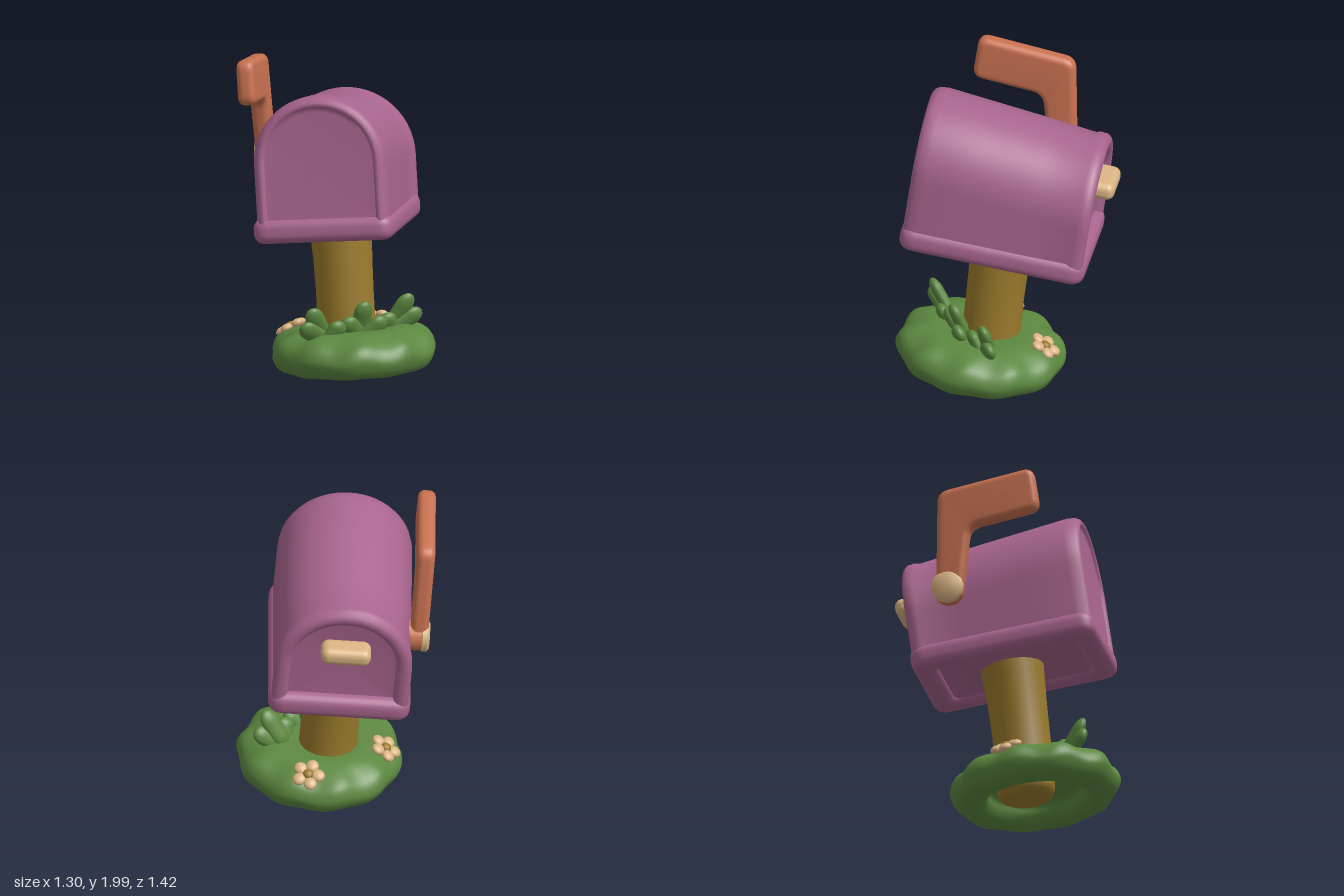
import * as THREE from 'three';
import { toCreasedNormals } from 'three/addons/utils/BufferGeometryUtils.js';
import { RoundedBoxGeometry } from 'three/addons/geometries/RoundedBoxGeometry.js';

const mat = (name, color) => {
  const m = new THREE.MeshStandardMaterial({ color });
  m.name = name;
  return m;
};

function add(parent, name, geometry, material, pos = [0, 0, 0], rot = [0, 0, 0]) {
  const mesh = new THREE.Mesh(geometry, material);
  mesh.name = name;
  mesh.position.set(...pos);
  mesh.rotation.set(...rot);
  parent.add(mesh);
  return mesh;
}

const points = list => list.map(p => new THREE.Vector2(...p));

// Polygon path whose corners are rounded by radius r
function roundedPoly(path, pts, r) {
  const v = points(pts);
  v.forEach((p, i) => {
    const prev = v[(i + v.length - 1) % v.length], next = v[(i + 1) % v.length];
    const a = prev.clone().sub(p).setLength(r).add(p);
    const b = next.clone().sub(p).setLength(r).add(p);
    if (i === 0) path.moveTo(a.x, a.y); else path.lineTo(a.x, a.y);
    path.quadraticCurveTo(p.x, p.y, b.x, b.y);
  });
  path.closePath();
  return path;
}

const rect = (w, h) => [[-w / 2, -h / 2], [w / 2, -h / 2], [w / 2, h / 2], [-w / 2, h / 2]];

function puffyExtrude(shape, depth, bevel) {
  const g = new THREE.ExtrudeGeometry(shape, {
    depth: depth - 2 * bevel, bevelEnabled: true, bevelThickness: bevel,
    bevelSize: bevel, bevelOffset: -bevel, bevelSegments: 6, curveSegments: 8,
  });
  g.translate(0, 0, bevel);
  return toCreasedNormals(g, 0.9);
}

// Arched cross-section, counterclockwise seen from the front
function arch(z, inset) {
  const hw = 0.415 - inset, bottom = 0.03 + inset, top = 0.85 + 0.092 * z - inset;
  const spring = top - hw, pts = [];
  for (let i = 0; i < 8; i++) pts.push([-hw + 2 * hw * i / 8, bottom, z]);
  for (let i = 0; i < 8; i++) pts.push([hw, bottom + (spring - bottom) * i / 8, z]);
  for (let i = 0; i < 28; i++) {
    const a = Math.PI * i / 28;
    pts.push([hw * Math.cos(a), spring + hw * Math.sin(a), z]);
  }
  for (let i = 0; i < 8; i++) pts.push([-hw, spring + (bottom - spring) * i / 8, z]);
  return pts;
}

// Box body: arched sections from the front panel over the rims to the rear door
function bodyGeometry() {
  const rings = [
    [0.56, 0.1], [0.562, 0.076], [0.572, 0.07], [0.581, 0.058], [0.58, 0.044], [0.567, 0.025],
    [0.54, 0.009], [0.49, 0], [0.2, 0], [-0.2, 0], [-0.45, 0.003], [-0.48, -0.008],
    [-0.52, -0.008], [-0.545, 0.008], [-0.555, 0.033], [-0.55, 0.063], [-0.535, 0.083],
    [-0.505, 0.091], [-0.5, 0.13],
  ].map(([z, inset]) => arch(z, inset));
  const n = rings[0].length, last = rings.length - 1, idx = [];
  const front = rings.length * n, back = front + 1;
  for (let j = 0; j < n; j++) {
    const j2 = (j + 1) % n;
    for (let k = 0; k < last; k++) {
      const a = k * n + j, b = k * n + j2, c = a + n, d = b + n;
      idx.push(a, c, b, b, c, d);
    }
    idx.push(front, j, j2, back, last * n + j2, last * n + j);
  }
  const pos = [...rings.flat(), [0, 0.45, 0.56], [0, 0.45, -0.5]].flat();
  const g = new THREE.BufferGeometry();
  g.setAttribute('position', new THREE.Float32BufferAttribute(pos, 3));
  g.setIndex(idx);
  return toCreasedNormals(g, 0.9);
}

// Lumpy ground mound, hollow underneath
function moundGeometry() {
  const profile = points([
    [0, 0.15], [0.2, 0.15], [0.28, 0.12], [0.3, 0.06], [0.34, 0.01], [0.41, 0], [0.47, 0.025],
    [0.505, 0.08], [0.51, 0.13], [0.48, 0.19], [0.41, 0.235], [0.32, 0.262], [0.2, 0.26], [0.1, 0.255],
  ]);
  const curve = new THREE.SplineCurve(profile);
  const g = new THREE.LatheGeometry(curve.getPoints(48), 96);
  const p = g.attributes.position;
  for (let i = 0; i < p.count; i++) {
    const x = p.getX(i), y = p.getY(i), z = p.getZ(i);
    const r = Math.hypot(x, z), a = Math.atan2(z, x);
    const edge = THREE.MathUtils.smoothstep(r, 0.3, 0.5);
    const lump = edge * THREE.MathUtils.smoothstep(y, -0.08, 0.15);
    const s = 1 + edge * (0.02 * Math.sin(10 * a + 0.6) - 0.015 * Math.sin(2 * a));
    p.setXYZ(i, x * s, y + lump * 0.015 * Math.sin(10 * a + 1.8), z * s);
  }
  g.computeVertexNormals();
  // Blend the normals where the lathe closes
  const nm = g.attributes.normal, rows = 49;
  for (let i = 0; i < rows; i++) {
    const e = p.count - rows + i;
    const v = new THREE.Vector3().fromBufferAttribute(nm, i)
      .add(new THREE.Vector3().fromBufferAttribute(nm, e)).normalize();
    nm.setXYZ(i, v.x, v.y, v.z);
    nm.setXYZ(e, v.x, v.y, v.z);
  }
  return g;
}

export function createModel() {
  const purple = mat('purple paint', 0xa9658e);
  const orange = mat('orange paint', 0xc87151);
  const cream = mat('cream', 0xdab483);
  const green = mat('grass green', 0x5c8840);
  const wood = mat('ochre wood', 0x9a7a2c);

  const model = new THREE.Group();
  model.name = 'mailbox';

  // Tilted letter box
  const box = new THREE.Group();
  box.name = 'letterBox';
  box.position.set(0.003, 0.893, 0.025);
  box.rotation.set(-0.134, -0.585, 0.08, 'YXZ');
  model.add(box);
  add(box, 'body', bodyGeometry(), purple);

  const rim = roundedPoly(new THREE.Shape(), rect(0.875, 1.165), 0.1);
  rim.holes.push(roundedPoly(new THREE.Path(), rect(0.59, 0.86), 0.05));
  add(box, 'baseRim', puffyExtrude(rim, 0.155, 0.06), purple, [0, -0.008, 0.01], [-Math.PI / 2, 0, 0]);

  add(box, 'doorHandle', new RoundedBoxGeometry(0.31, 0.115, 0.16, 5, 0.05), cream, [-0.005, 0.528, -0.568]);

  // Raised flag with its pivot
  const flagShape = roundedPoly(new THREE.Shape(),
    [[-0.34, 0.38], [-0.17, 0.38], [-0.06, 0.81], [0.385, 0.83], [0.385, 1.112], [-0.225, 1.08]], 0.07);
  add(box, 'flag', puffyExtrude(flagShape, 0.11, 0.04), orange, [-0.405, 0, 0], [0, -Math.PI / 2, 0]);
  const side = [0, 0, Math.PI / 2];
  add(box, 'flagPivot', new THREE.CylinderGeometry(0.095, 0.095, 0.1, 24), orange, [-0.44, 0.45, -0.255], side);
  const knob = points([[0, -0.03], [0.08, -0.03], [0.1, -0.015], [0.1, 0.015], [0.08, 0.03], [0, 0.03]]);
  add(box, 'pivotKnob', toCreasedNormals(new THREE.LatheGeometry(knob, 24), 0.9),
    cream, [-0.495, 0.45, -0.255], side);

  // Post, bent backwards, with a rounded foot square to the lean
  const post = new THREE.LatheGeometry(points([
    [0, 0.055], [0.13, 0.06], [0.165, 0.08], [0.18, 0.12], [0.18, 0.3], [0.178, 0.5],
    [0.182, 0.7], [0.19, 0.85], [0.2, 1.0],
  ]), 24);
  const pp = post.attributes.position;
  for (let i = 0; i < pp.count; i++) {
    const y = pp.getY(i), z = pp.getZ(i);
    pp.setXYZ(i, pp.getX(i) + 0.03 - 0.01 * y, y + 0.1 * z, z + 0.125 - 0.06 * y - 0.055 * y * y);
  }
  add(model, 'post', toCreasedNormals(post, 0.9), wood);

  // Ground
  add(model, 'grassMound', moundGeometry(), green, [0.04, 0.047, 0.195], [-0.1, 0, 0]);

  // Leaf tufts: each leaf is [lean, length]
  const leafGeometry = new THREE.CapsuleGeometry(1, 1.2, 8, 16);
  const tufts = [
    [[-0.2, 0.28, 0.27], [[0.5, 0.27], [0.92, 0.23], [-0.45, 0.17]]],
    [[0.03, 0.28, 0.28], [[0, 0.25], [0.72, 0.2], [-0.72, 0.2]]],
    [[0.26, 0.28, 0.22], [[-0.4, 0.27], [-0.92, 0.23], [0.45, 0.17]]],
  ];
  tufts.forEach(([base, leaves]) => {
    const tuft = new THREE.Group();
    tuft.name = 'leafTuft';
    tuft.position.set(...base);
    tuft.rotation.x = 0.38;
    model.add(tuft);
    leaves.forEach(([lean, len], i) => {
      const leaf = add(tuft, 'leaf', leafGeometry, green,
        [-Math.sin(lean) * len / 2, Math.cos(lean) * len / 2, i * 0.025], [0, 0, lean]);
      leaf.scale.set(0.06, len / 3.2, 0.037);
    });
  });

  // Two five-petal flowers at the back
  const blob = new THREE.SphereGeometry(1, 16, 12);
  for (const s of [1, -1]) {
    const flower = new THREE.Group();
    flower.name = 'flower';
    flower.position.set(0.04 + s * 0.285, 0.262, -0.125);
    flower.rotation.set(-0.5, 0, -s * 0.3);
    model.add(flower);
    for (let i = 0; i < 5; i++) {
      const a = i * Math.PI * 0.4;
      const petal = add(flower, 'petal', blob, cream,
        [Math.cos(a) * 0.062, 0, Math.sin(a) * 0.062], [0, -a, 0]);
      petal.scale.set(0.042, 0.026, 0.04);
    }
    add(flower, 'flowerCentre', blob, wood, [0, 0.01, 0]).scale.set(0.032, 0.022, 0.032);
  }
  return model;
}
